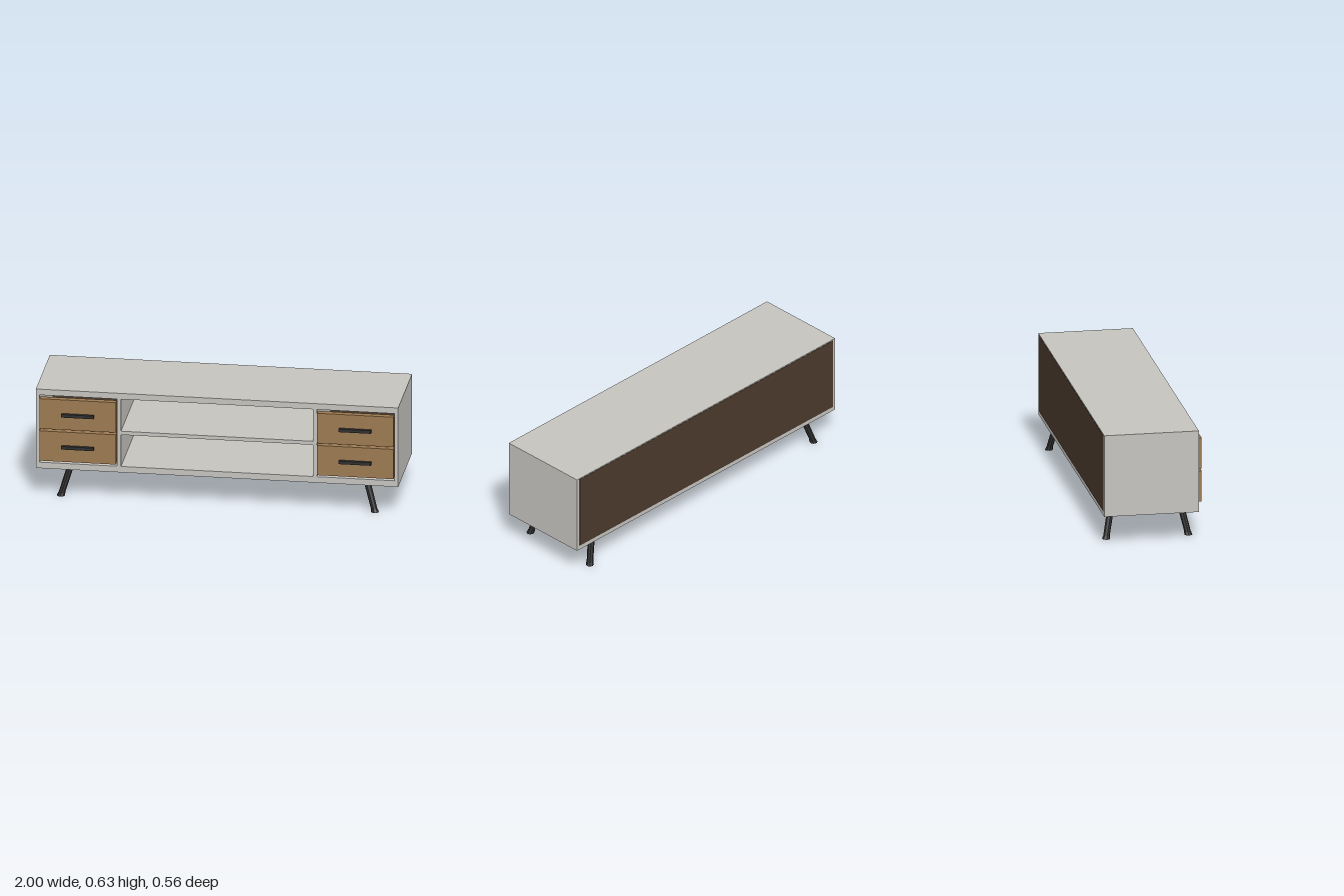
import * as THREE from 'three';

export function createModel() {
  const model = new THREE.Group();
  model.name = 'mediaCabinet';

  const mat = (name, color) => {
    const m = new THREE.MeshStandardMaterial({ color });
    m.name = name;
    return m;
  };
  const grey = mat('pale grey lacquer', 0xc4c3be);
  const oak = mat('oak drawer front', 0x9c7a50);
  const walnut = mat('dark brown back', 0x4a392b);
  const black = mat('black metal', 0x2e2e2f);
  black.flatShading = true;

  // Box given by its low and high corners
  const box = (name, material, [x0, y0, z0], [x1, y1, z1], parent = model) => {
    const mesh = new THREE.Mesh(new THREE.BoxGeometry(x1 - x0, y1 - y0, z1 - z0), material);
    mesh.position.set((x0 + x1) / 2, (y0 + y1) / 2, (z0 + z1) / 2);
    mesh.name = name;
    parent.add(mesh);
    return mesh;
  };

  // Carcass
  const back = -0.28, front = 0.245;
  box('topPanel', grey, [-0.98, 0.593, back], [0.98, 0.627, front]);
  box('bottomPanel', grey, [-0.98, 0.165, back], [0.98, 0.2, front]);
  box('shelf', grey, [-0.53, 0.385, -0.262], [0.53, 0.406, front]);
  box('backPanel', walnut, [-0.98, 0.19, -0.2815], [0.98, 0.622, -0.262]);

  for (const side of [-1, 1]) {
    const label = side > 0 ? 'left' : 'right';
    const span = (a, b) => (side > 0 ? [a, b] : [-b, -a]);

    const [s0, s1] = span(0.98, 1);
    box(label + 'SidePanel', grey, [s0, 0.165, back], [s1, 0.627, front]);
    const [d0, d1] = span(0.53, 0.552);
    box(label + 'Divider', grey, [d0, 0.2, -0.262], [d1, 0.593, front]);

    // Two drawers with bar handles
    [[0.217, 0.391, 0.304], [0.404, 0.579, 0.491]].forEach(([y0, y1, handleY], i) => {
      const drawer = new THREE.Group();
      drawer.name = label + (i ? 'UpperDrawer' : 'LowerDrawer');
      const [x0, x1] = span(0.555, 0.977);
      box('drawerFront', oak, [x0, y0, 0.23], [x1, y1, 0.265], drawer);
      const [h0, h1] = span(0.677, 0.855);
      box('handle', black, [h0, handleY - 0.009, 0.265], [h1, handleY + 0.009, 0.283], drawer);
      model.add(drawer);
    });

    // Splayed legs: a rod sheared outwards, ending in a flared foot
    for (const [place, topZ, footZ] of [['Front', 0.1745, 0.211], ['Rear', -0.21, -0.246]]) {
      const leg = new THREE.Group();
      leg.name = label + place + 'Leg';
      const topX = side * 0.817, footX = side * 0.867;
      const segment = (name, rTop, rBottom, y0, y1) => {
        const g = new THREE.CylinderGeometry(rTop, rBottom, y1 - y0, 8);
        g.translate(0, (y0 + y1) / 2, 0);
        const p = g.attributes.position;
        for (let i = 0; i < p.count; i++) {
          const t = p.getY(i) / 0.166;
          p.setX(i, p.getX(i) + THREE.MathUtils.lerp(footX, topX, t));
          p.setZ(i, p.getZ(i) + THREE.MathUtils.lerp(footZ, topZ, t));
        }
        g.computeVertexNormals();
        const mesh = new THREE.Mesh(g, black);
        mesh.name = name;
        leg.add(mesh);
      };
      segment('rod', 0.019, 0.018, 0.016, 0.166);
      segment('foot', 0.019, 0.022, 0, 0.018);
      model.add(leg);
    }
  }
  return model;
}
